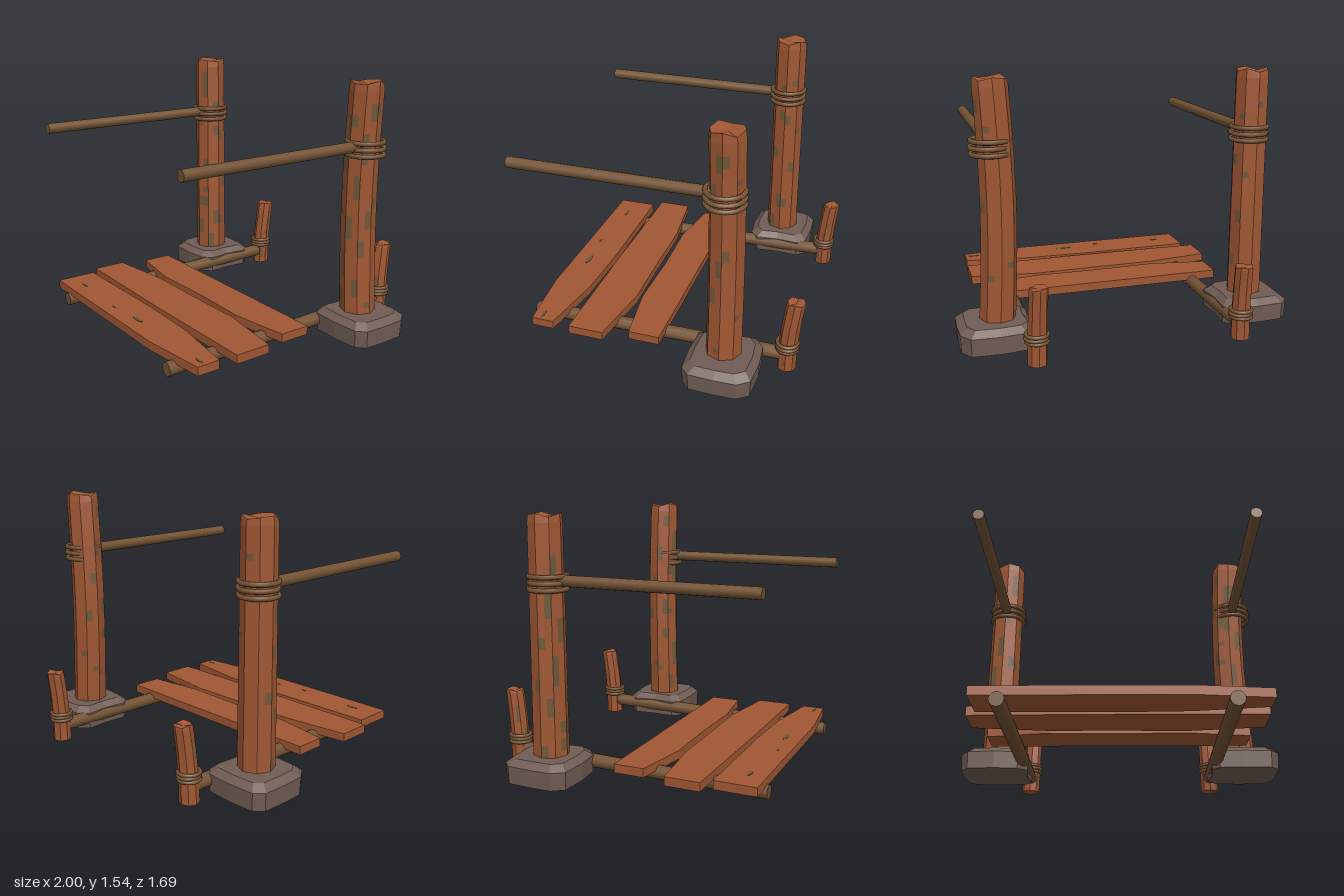
import * as THREE from 'three';

const flat = (name, color) => {
  const m = new THREE.MeshStandardMaterial({ color });
  m.name = name;
  return m;
};

export function createModel() {
  const wood = flat('wood', 0xa05733);
  const moss = flat('moss', 0x6f583a);
  const rope = flat('rope', 0x745334);
  const stone = flat('stone', 0x705c54);
  const model = new THREE.Group();

  const add = (name, geometry, material, parent = model) => {
    const mesh = new THREE.Mesh(geometry, material);
    mesh.name = name;
    parent.add(mesh);
    return mesh;
  };

  // Joins rings of points into a faceted closed solid; pick(row, column) chooses the material slot
  function loft(rings, dip = 0, pick = () => 0) {
    const slots = [[], []];
    const n = rings[0].length;
    const tri = (s, ...pts) => pts.forEach((p) => slots[s].push(p.x, p.y, p.z));
    for (let i = 0; i < rings.length - 1; i++) {
      for (let k = 0; k < n; k++) {
        const j = (k + 1) % n, lo = rings[i], hi = rings[i + 1], s = pick(i, k);
        tri(s, lo[k], hi[k], lo[j]);
        tri(s, lo[j], hi[k], hi[j]);
      }
    }
    const middle = (ring) => ring.reduce((c, p) => c.add(p), new THREE.Vector3()).divideScalar(n);
    const bottom = rings[0], top = rings[rings.length - 1];
    const cb = middle(bottom), ct = middle(top);
    ct.y -= dip;
    for (let k = 0; k < n; k++) {
      const j = (k + 1) % n;
      tri(0, cb, bottom[k], bottom[j]);
      tri(0, ct, top[j], top[k]);
    }
    const g = new THREE.BufferGeometry();
    g.setAttribute('position', new THREE.Float32BufferAttribute([...slots[0], ...slots[1]], 3));
    g.addGroup(0, slots[0].length / 3, 0);
    g.addGroup(slots[0].length / 3, slots[1].length / 3, 1);
    g.computeVertexNormals();
    return g;
  }

  // Eight-sided rough timber following centre(t), with a ragged top and mossy cells
  function timber({ y0, y1, radius, rows, centre, jag, seed, cover }) {
    const rings = [];
    for (let i = 0; i <= rows + 1; i++) {
      const end = i > rows;
      const t = end ? 1 : (i / rows) * (1 - 0.03);
      const c = centre(t);
      const r = radius * (end ? 0.9 : 1 - 0.06 * t);
      const corner = (k) => {
        const a = (k * Math.PI) / 4;
        const lift = end ? jag * Math.sin(k * 2.3 + seed) : 0;
        return new THREE.Vector3(c.x + r * Math.cos(a), y0 + (y1 - y0) * t + lift, c.z + r * Math.sin(a));
      };
      const ring = [];
      for (let k = 0; k < 8; k++) {
        ring.push(corner(k), corner(k).lerp(corner((k + 1) % 8), 0.5));
      }
      rings.push(ring);
    }
    const pick = (i, k) => {
      if (i >= rows - 1) return 0;
      const y = y0 + ((y1 - y0) * i) / rows;
      const facing = Math.sin(((k + 0.5) * Math.PI) / 8); // more moss towards the front
      const noise = Math.sin(y * 9 + k * 2.1 + seed) + 0.7 * Math.sin(y * 21 - k * 1.3 + seed * 3)
        + 0.4 * Math.sin(y * 37 + k * 4.7);
      return noise + 0.55 * facing > cover ? 1 : 0;
    };
    return loft(rings, jag, pick);
  }

  // Coils of rope stacked around a timber
  function coils(name, x, z, heights, radius, tube) {
    const group = new THREE.Group();
    group.name = name;
    heights.forEach((y, i) => {
      const ring = add('coil', new THREE.TorusGeometry(radius, tube, 8, 24), rope, group);
      ring.rotation.x = Math.PI / 2;
      ring.position.set(x + (i % 2) * 0.004, y, z);
    });
    model.add(group);
  }

  // Straight rope between two points
  function ropeBetween(name, a, b, radius) {
    const dir = b.clone().sub(a);
    const mesh = add(name, new THREE.CylinderGeometry(radius, radius, dir.length(), 12), rope);
    mesh.position.copy(a).add(b).multiplyScalar(0.5);
    mesh.quaternion.setFromUnitVectors(new THREE.Vector3(0, 1, 0), dir.normalize());
  }

  // Footing outline: chipped block with slightly bulging sides
  const outline = [
    [0.215, -0.13], [0.22, 0], [0.215, 0.15], [0.165, 0.2], [0, 0.21], [-0.16, 0.2],
    [-0.205, 0.15], [-0.195, 0], [-0.21, -0.14], [-0.15, -0.195], [0, -0.21], [0.165, -0.2],
  ];
  const footingLevels = [[0.03, 0.98], [0.135, 1], [0.17, 0.8]];

  for (const side of [-1, 1]) {
    const label = side > 0 ? 'left' : 'right';

    const footing = add(label + 'Footing', loft(footingLevels.map(([y, s]) =>
      outline.map(([x, z]) => new THREE.Vector3(x * s, y, z * s)))), stone);
    footing.position.set(side * 0.78, 0, -0.423);
    if (side < 0) footing.rotation.y = Math.PI;

    // Tall post; the left one bows inwards
    add(label + 'Post', timber({
      y0: 0.1, y1: 1.54, radius: 0.106, rows: 40, jag: 0.012, seed: side > 0 ? 1.2 : 4.1, cover: 1.22,
      centre: (t) => ({ x: side > 0 ? 0.767 - 0.027 * Math.sin(Math.PI * t) : -0.78, z: -0.417 }),
    }), [wood, moss]);
    coils(label + 'PostBinding', side * 0.775, -0.413, [1.128, 1.165, 1.202], 0.107, 0.014);
    ropeBetween(label + 'HandRope', new THREE.Vector3(side * 0.775, 1.177, 0.845),
      new THREE.Vector3(side * 0.775, 1.177, -0.34), 0.033);

    // Short anchor stake behind the footing
    add(label + 'Stake', timber({
      y0: 0.012, y1: 0.465, radius: 0.057, rows: 12, jag: 0.008, seed: side > 0 ? 2 : 5, cover: 1.6,
      centre: (t) => ({ x: side * (0.605 - 0.008 * t), z: -0.755 - 0.036 * t * t }),
    }), [wood, moss]);
    coils(label + 'StakeBinding', side * 0.605, -0.755, [0.148, 0.168, 0.188], 0.061, 0.011);
    ropeBetween(label + 'DeckRope', new THREE.Vector3(side * 0.605, 0.077, 0.845),
      new THREE.Vector3(side * 0.605, 0.1, -0.72), 0.041);
  }

  // Worn deck planks, outlined in x and z
  const planks = [
    [[-0.76, -0.02], [0.76, -0.02], [0.76, 0.17], [0.4, 0.222], [0, 0.213], [-0.4, 0.224], [-0.76, 0.165]],
    [[-0.82, 0.32], [-0.4, 0.267], [0, 0.265], [0.4, 0.257], [0.82, 0.315], [0.82, 0.533], [0, 0.538], [-0.82, 0.53]],
    [[-0.76, 0.58], [0, 0.57], [0.4, 0.582], [0.81, 0.642], [0.81, 0.78], [0.4, 0.825], [-0.76, 0.83]],
  ];
  planks.forEach((pts, i) => {
    const shape = new THREE.Shape(pts.map(([x, z]) => new THREE.Vector2(x, z)));
    const g = new THREE.ExtrudeGeometry(shape, { depth: 0.052, bevelEnabled: false });
    g.rotateX(Math.PI / 2).translate(0, 0.155, 0);
    add('plank' + (i + 1), g, wood);
  });

  // Small moss spots on the front plank
  [[-0.58, 0.727, 0.04], [0.1, 0.725, 0.055], [0.75, 0.73, 0.035], [-0.15, 0.75, 0.018]].forEach(([x, z, r]) => {
    const spot = add('mossSpot', new THREE.CylinderGeometry(r, r, 0.003, 7), moss);
    spot.scale.z = 0.28;
    spot.position.set(x, 0.156, z);
  });

  return model;
}
